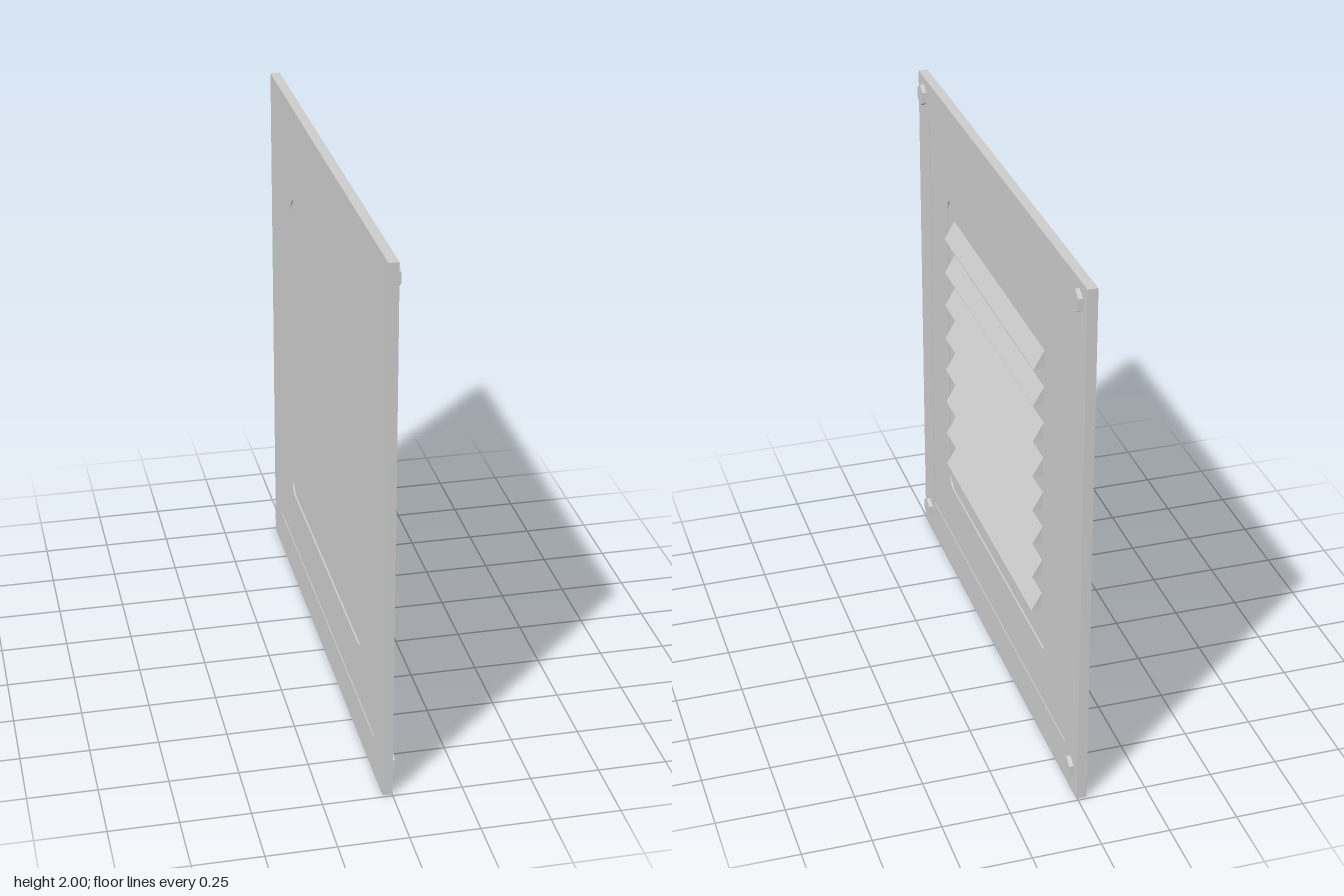
import * as THREE from 'three';

const material = new THREE.MeshStandardMaterial({ color: 0xcccccc, flatShading: true });

// Square outline with optional rounded corners
function square(PathType, half, radius = 0) {
  const p = new PathType();
  const a = half - radius;
  if (!radius) {
    p.moveTo(-half, -half).lineTo(half, -half).lineTo(half, half).lineTo(-half, half).closePath();
    return p;
  }
  p.absarc(a, a, radius, 0, Math.PI / 2);
  p.absarc(-a, a, radius, Math.PI / 2, Math.PI);
  p.absarc(-a, -a, radius, Math.PI, Math.PI * 1.5);
  p.absarc(a, -a, radius, Math.PI * 1.5, Math.PI * 2);
  p.closePath();
  return p;
}

// Extrude a shape drawn in the z-y plane, centred along x
function extrudeX(shape, depth) {
  const g = new THREE.ExtrudeGeometry(shape, { depth, bevelEnabled: false, curveSegments: 6 });
  return g.translate(0, 0, -depth / 2).rotateY(Math.PI / 2);
}

export function createModel() {
  const group = new THREE.Group();
  const add = (name, geometry, x, y, z) => {
    const mesh = new THREE.Mesh(geometry, material);
    mesh.name = name;
    mesh.position.set(x, y, z);
    group.add(mesh);
  };

  const backX = -0.034, frontX = 0.002;
  const thickness = frontX - backX, midX = (frontX + backX) / 2;
  const outerStep = 0.003, innerStep = 0.009;

  // Outer border of the plate
  const rim = new THREE.Shape();
  rim.moveTo(-0.99, -1).lineTo(0.99, -1).lineTo(0.99, 1).lineTo(-0.99, 1).closePath();
  rim.holes.push(square(THREE.Path, 0.85));
  add('plateBorder', extrudeX(rim, thickness), midX, 1, 0);

  // Slightly sunken band, then the deeper rounded centre panel
  const band = square(THREE.Shape, 0.85);
  band.holes.push(square(THREE.Path, 0.62, 0.05));
  // The rounded opening is a touch taller than wide
  const bandGeometry = extrudeX(band, thickness - 2 * outerStep);
  const panelGeometry = extrudeX(square(THREE.Shape, 0.62, 0.05), thickness - 2 * innerStep);
  for (const g of [bandGeometry, panelGeometry]) {
    const p = g.attributes.position;
    for (let i = 0; i < p.count; i++) {
      const y = p.getY(i);
      if (Math.abs(y) < 0.7) p.setY(i, y + Math.sign(y) * 0.01);
    }
  }
  add('sunkenBand', bandGeometry, midX, 1, 0);
  add('centrePanel', panelGeometry, midX, 1, 0);

  // Wedge-shaped louvres, sloping outwards and down
  const floorX = frontX - innerStep;
  const wedge = new THREE.Shape();
  wedge.moveTo(floorX, 0).lineTo(0.032, 0).lineTo(floorX, 0.068).closePath();
  const wedgeGeometry = new THREE.ExtrudeGeometry(wedge, { depth: 1.09, bevelEnabled: false });
  wedgeGeometry.translate(0, 0, -0.545);
  for (let i = 0; i < 8; i++) add('louvre', wedgeGeometry, 0, 0.517 + i * 0.1396, 0);

  // Hexagonal bolt heads in the corners, one point up
  const boltGeometry = new THREE.CylinderGeometry(0.041, 0.041, 0.018, 6);
  boltGeometry.rotateY(Math.PI / 2).rotateZ(-Math.PI / 2);
  for (const y of [0.093, 1.93])
    for (const z of [-0.915, 0.915]) add('bolt', boltGeometry, 0.009, y, z);

  return group;
}
